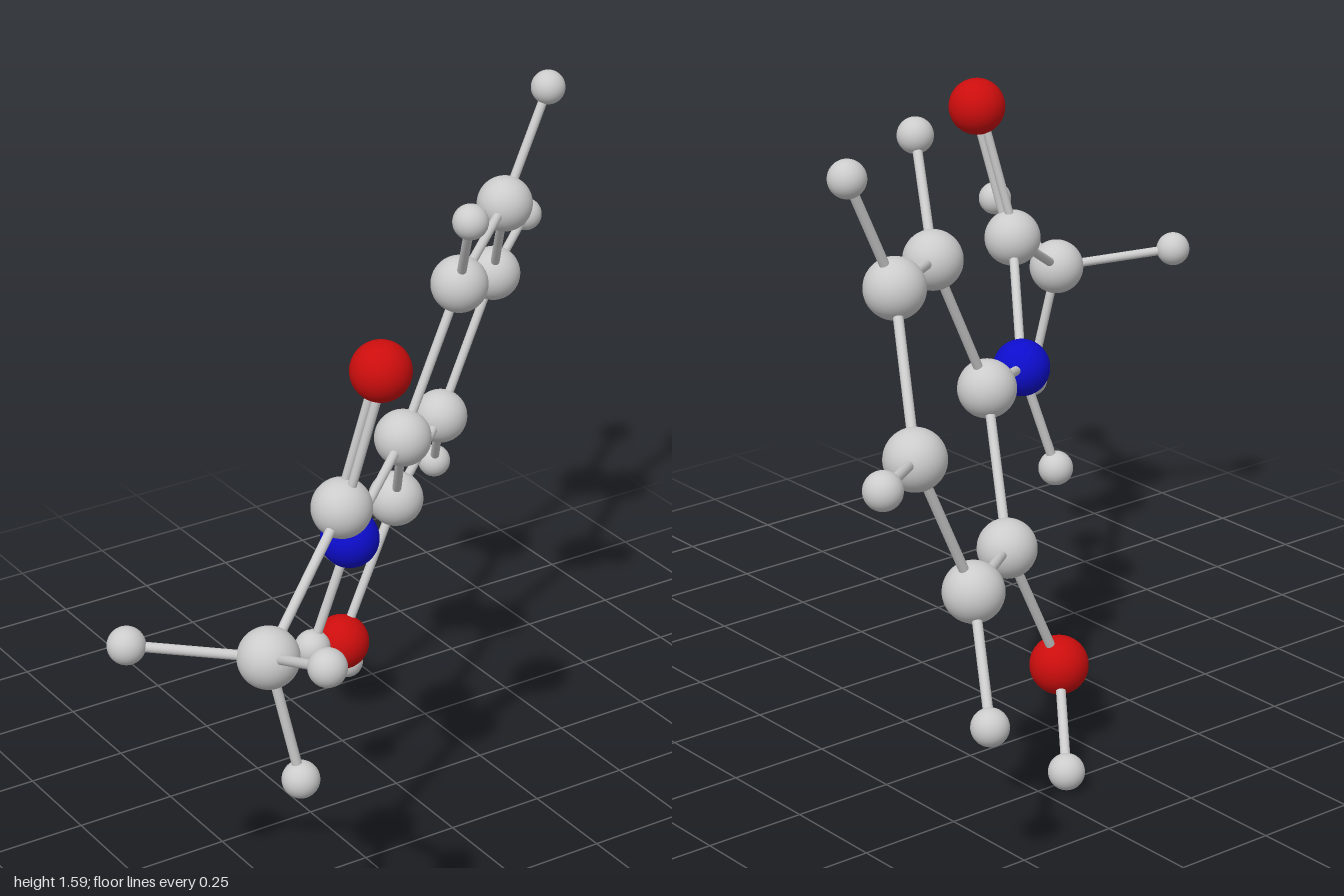
import * as THREE from 'three';

const grey = new THREE.MeshStandardMaterial({ color: 0xcccccc });
const red = new THREE.MeshStandardMaterial({ color: 0xcc0d0d });
const blue = new THREE.MeshStandardMaterial({ color: 0x0d0dcc });

// Element styles: name, ball radius, material
const elements = {
  C: ['carbon', 0.07, grey],
  H: ['hydrogen', 0.043, grey],
  O: ['oxygen', 0.07, red],
  N: ['nitrogen', 0.07, blue],
};

// Atoms: element and position
const atoms = {
  methyl: ['C', -0.695, 0.825, 0.56],
  methylH1: ['H', -0.957, 0.86, 0.40],
  methylH2: ['H', -0.72, 0.94, 0.843],
  methylH3: ['H', -0.637, 0.517, 0.593],
  carbonyl: ['C', -0.375, 1.015, 0.353],
  carbonylO: ['O', -0.305, 1.353, 0.407],
  amide: ['N', -0.195, 0.78, 0.10],
  amideH: ['H', -0.285, 0.505, 0.075],
  ring1: ['C', 0.113, 0.862, -0.145],
  ring2: ['C', 0.29, 1.216, -0.168],
  ring3: ['C', 0.593, 1.273, -0.418],
  ring4: ['C', 0.72, 0.975, -0.648],
  ring5: ['C', 0.545, 0.62, -0.628],
  ring6: ['C', 0.243, 0.567, -0.377],
  ringH2: ['H', 0.202, 1.455, 0.006],
  ringH3: ['H', 0.73, 1.547, -0.434],
  ringH4: ['H', 0.957, 1.02, -0.844],
  ringH5: ['H', 0.647, 0.39, -0.81],
  hydroxylO: ['O', 0.065, 0.22, -0.354],
  hydroxylH: ['H', 0.19, 0.045, -0.53],
};

// Single bonds outside the ring
const bonds = [
  ['methyl', 'methylH1'], ['methyl', 'methylH2'], ['methyl', 'methylH3'],
  ['methyl', 'carbonyl'], ['carbonyl', 'amide'], ['amide', 'amideH'], ['amide', 'ring1'],
  ['ring6', 'hydroxylO'], ['hydroxylO', 'hydroxylH'],
];
for (let i = 1; i <= 6; i++) bonds.push([`ring${i}`, `ring${(i % 6) + 1}`]);
for (let i = 2; i <= 5; i++) bonds.push([`ring${i}`, `ringH${i}`]);

const position = (key) => new THREE.Vector3(...atoms[key].slice(1));

// Rod from one point to another
function rod(a, b, radius) {
  const axis = b.clone().sub(a);
  const mesh = new THREE.Mesh(new THREE.CylinderGeometry(radius, radius, axis.length(), 20, 1, true), grey);
  mesh.position.copy(a).lerp(b, 0.5);
  mesh.quaternion.setFromUnitVectors(new THREE.Vector3(0, 1, 0), axis.normalize());
  return mesh;
}

export function createModel() {
  const model = new THREE.Group();
  model.name = 'molecule';

  // Balls
  for (const key in atoms) {
    const [name, radius, material] = elements[atoms[key][0]];
    const ball = new THREE.Mesh(new THREE.SphereGeometry(radius, 40, 28), material);
    ball.name = `${name} ${key}`;
    ball.position.copy(position(key));
    model.add(ball);
  }

  // Single bonds
  for (const [from, to] of bonds) {
    const bond = rod(position(from), position(to), 0.0115);
    bond.name = `bond ${from} to ${to}`;
    model.add(bond);
  }

  // Double bond: two parallel rods side by side in depth
  const doubleBond = new THREE.Group();
  doubleBond.name = 'double bond';
  const a = position('carbonyl'), b = position('carbonylO');
  const axis = b.clone().sub(a).normalize();
  const offset = new THREE.Vector3(0, 0, 1).projectOnPlane(axis).normalize();
  for (const side of [-1, 1]) {
    const shift = offset.clone().multiplyScalar(side * 0.014);
    const bond = rod(a.clone().add(shift), b.clone().add(shift), 0.0105);
    bond.name = 'double bond rod';
    doubleBond.add(bond);
  }
  model.add(doubleBond);

  return model;
}
